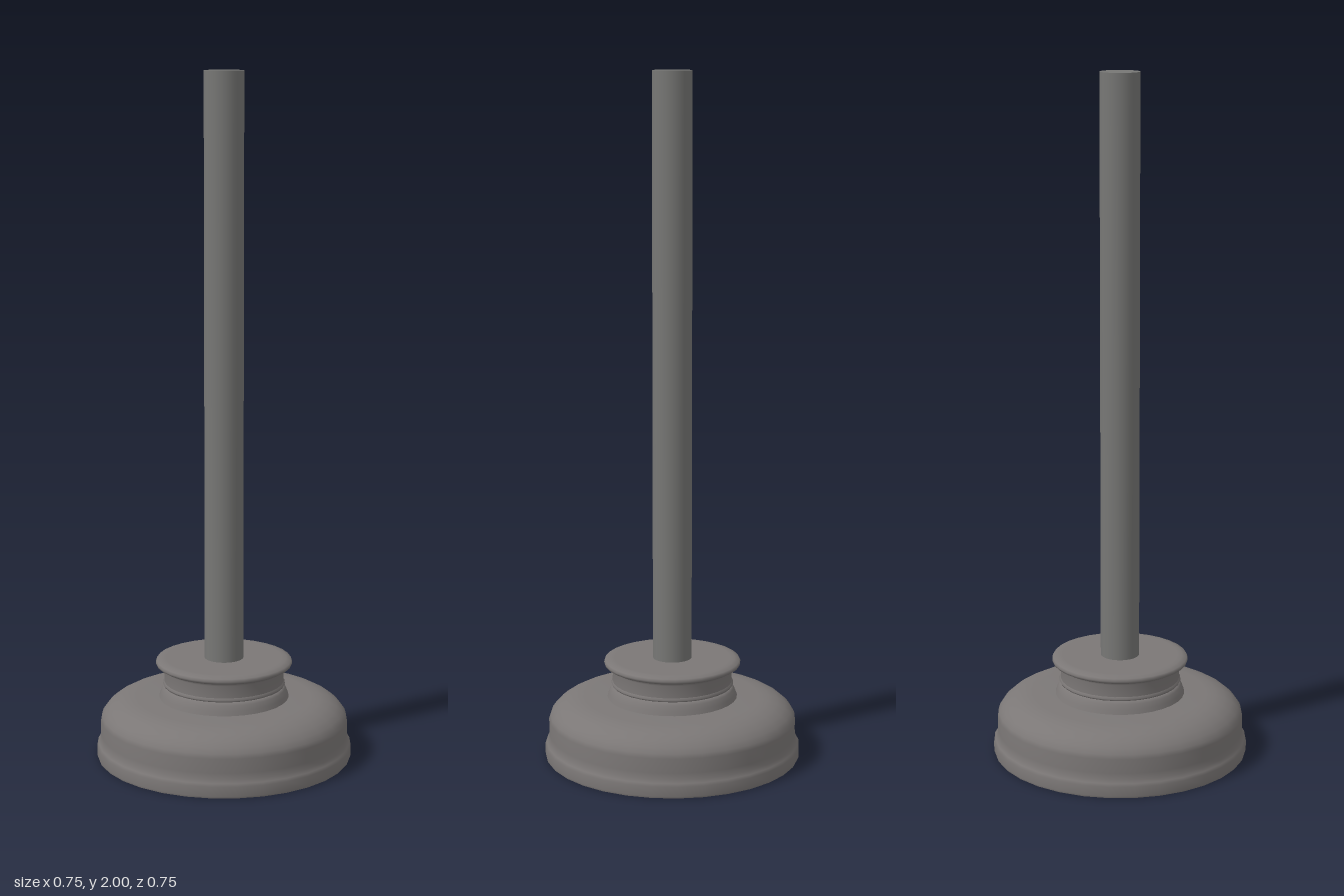
import * as THREE from 'three';

const SIDES = 32;

function flatColor(name, color) {
  const material = new THREE.MeshStandardMaterial({ color });
  material.name = name;
  return material;
}

export function createModel() {
  const model = new THREE.Group();
  model.name = 'plunger';
  const rubber = flatColor('warm grey rubber', 0x7b7776);
  const wood = flatColor('grey handle', 0x777775);
  const pale = flatColor('pale underside', 0xcccccc);

  // Each profile is [radius, height], listed from bottom to top; separate profiles keep edges crisp
  function turn(name, material, ...profiles) {
    const part = new THREE.Group();
    part.name = name;
    profiles.forEach((profile, i) => {
      const points = profile.map(([r, y]) => new THREE.Vector2(r, y));
      const mesh = new THREE.Mesh(new THREE.LatheGeometry(points, SIDES), material);
      mesh.name = `${name}Surface${i + 1}`;
      part.add(mesh);
    });
    model.add(part);
  }

  // Pale disc closing the underside, framed by the rubber lip
  turn('underside', pale, [[0, 0.002], [0.36, 0.002]]);
  turn('lip', rubber, [[0.358, 0.002], [0.36, 0], [0.374, 0]]);

  // Rounded cup flowing out of the slightly wider band at its foot
  turn('cup', rubber, [
    [0.374, 0], [0.376, 0.006], [0.376, 0.034], [0.371, 0.042], [0.366, 0.052],
    [0.364, 0.07], [0.364, 0.112], [0.36, 0.125], [0.35, 0.139], [0.334, 0.153],
    [0.312, 0.165], [0.285, 0.173], [0.255, 0.176], [0.185, 0.178],
  ]);

  // Stepped collar above the cup
  turn('collar', rubber, [
    [0.192, 0.176], [0.187, 0.19], [0.181, 0.205], [0.174, 0.212], [0.16, 0.213],
  ]);

  // Neck with a beaded lower edge, flaring into the flange above
  turn('neck', rubber,
    [[0.165, 0.211], [0.178, 0.215], [0.18, 0.22], [0.176, 0.226]],
    [[0.176, 0.226], [0.175, 0.262], [0.18, 0.272], [0.192, 0.273]]);

  // Flange with a rounded edge and flat top
  turn('flange', rubber, [
    [0.178, 0.272], [0.192, 0.273], [0.199, 0.277], [0.201, 0.283],
    [0.198, 0.29], [0.184, 0.295], [0.17, 0.295], [0, 0.295],
  ]);

  // Straight handle
  const handle = new THREE.Mesh(new THREE.CylinderGeometry(0.057, 0.057, 1.72, SIDES), wood);
  handle.name = 'handle';
  handle.position.y = 1.14;
  model.add(handle);

  return model;
}
